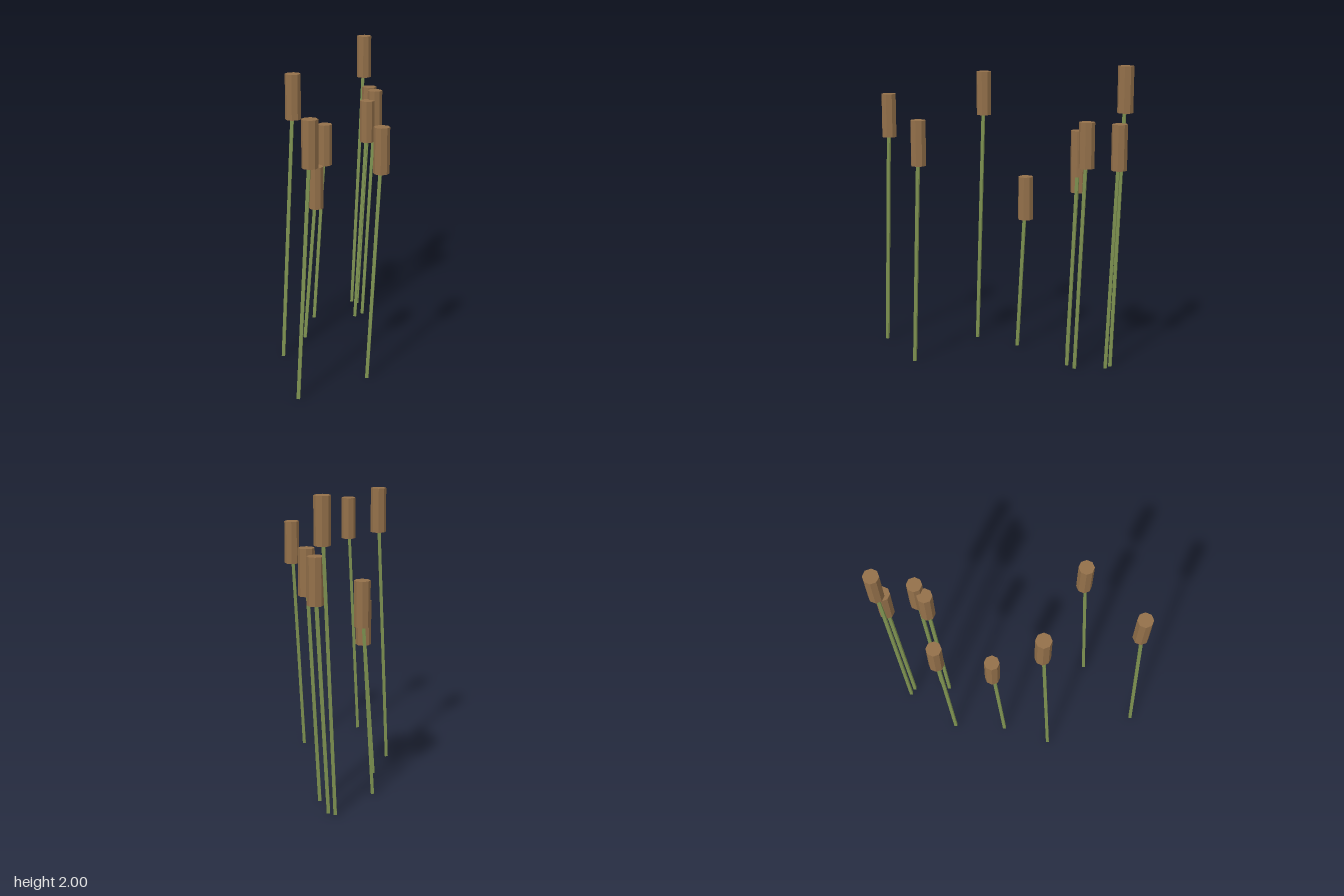
import * as THREE from 'three';

const HEAD_HEIGHT = 0.293;
const HEAD_RADIUS = 0.051;
const STEM_RADIUS = 0.015;
const LEAN = 0.103; // sideways drift from stem foot to head

// One entry per reed: head x, head z, height of the head's top
const REEDS = [
  [-0.605, 0.508, 1.762],
  [-0.313, -0.066, 1.91],
  [-0.083, 0.54, 1.646],
  [-0.017, -0.222, 1.222],
  [0.246, -0.469, 1.43],
  [0.494, -0.305, 1.593],
  [0.571, -0.315, 1.654],
  [0.668, -0.496, 1.64],
  [0.655, -0.543, 2.0],
];

export function createModel() {
  const model = new THREE.Group();
  model.name = 'reeds';
  const brown = new THREE.MeshStandardMaterial({ color: 0x93704a, flatShading: true });
  const green = new THREE.MeshStandardMaterial({ color: 0x7d9150, flatShading: true });
  const headGeometry = new THREE.CylinderGeometry(HEAD_RADIUS, HEAD_RADIUS, HEAD_HEIGHT, 8);

  for (const [x, z, top] of REEDS) {
    const reed = new THREE.Group();
    reed.name = 'reed';
    const headY = top - HEAD_HEIGHT / 2;

    // Upright seed head
    const head = new THREE.Mesh(headGeometry, brown);
    head.name = 'seedHead';
    head.position.set(x, headY, z);

    // Four-sided stem, leaning from the ground into the middle of the head
    const length = Math.hypot(headY, LEAN);
    const stem = new THREE.Mesh(
      new THREE.CylinderGeometry(STEM_RADIUS, STEM_RADIUS, length, 4), green);
    stem.name = 'stem';
    stem.position.set(x - LEAN / 2, headY / 2 + 0.001, z);
    stem.rotation.z = -Math.atan2(LEAN, headY);

    reed.add(stem, head);
    model.add(reed);
  }
  return model;
}
